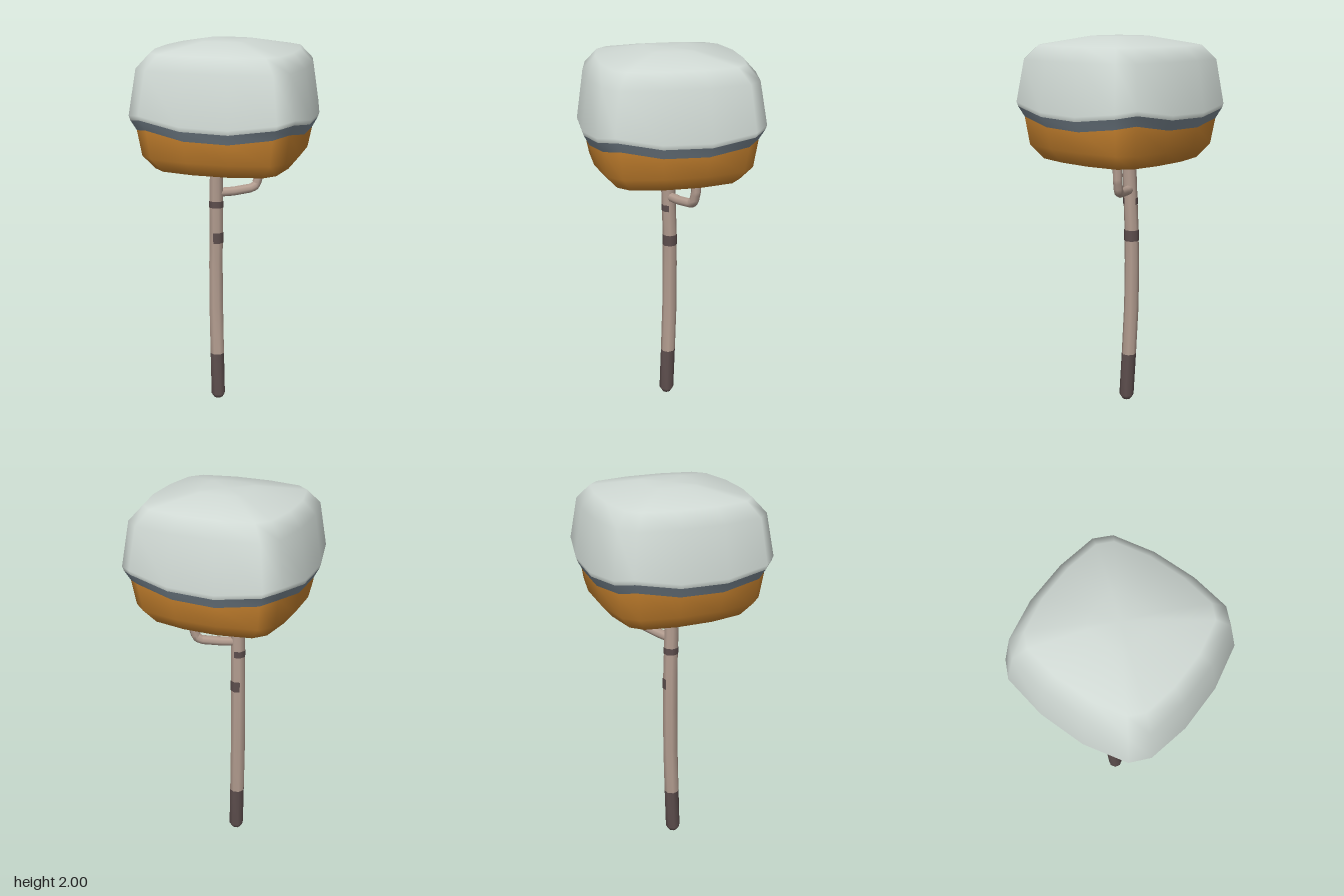
import * as THREE from 'three';

const mat = (name, color) => {
  const m = new THREE.MeshStandardMaterial({ color });
  m.name = name;
  return m;
};

// Skin a stack of closed rings, listed from bottom to top
function loft(rings) {
  const n = rings[0].length, pos = [], idx = [];
  rings.forEach(r => r.forEach(p => pos.push(...p)));
  for (let k = 0; k < rings.length - 1; k++) {
    for (let i = 0; i < n; i++) {
      const j = (i + 1) % n;
      const a = k * n + i, b = k * n + j, c = b + n, d = a + n;
      idx.push(a, d, c, a, c, b);
    }
  }
  const g = new THREE.BufferGeometry();
  g.setAttribute('position', new THREE.Float32BufferAttribute(pos, 3));
  g.setIndex(idx);
  g.computeVertexNormals();
  return g;
}

// Twisted, rounded square outline: one side [x, z, wave height] turned four times
const SIDE = [[-0.235, -0.477, 0.025], [-0.01, -0.467, 0], [0.222, -0.41, 0.005], [0.42, -0.323, 0.04]];
const OUTLINE = [];
for (let q = 0; q < 4; q++) {
  for (let [x, z, w] of SIDE) {
    for (let t = 0; t < q; t++) [x, z] = [-z, x];
    OUTLINE.push([x, z, w]);
  }
}
const canopyRing = (scale, y, wave = 0) =>
  OUTLINE.map(([x, z, w]) => [x * scale, y + w * wave, z * scale]);

// Eight-sided trunk ring
const trunkRing = (x, y, z, r) => Array.from({ length: 8 }, (_, i) => {
  const a = (i + 0.5) * Math.PI / 4;
  return [x + Math.cos(a) * r, y, z + Math.sin(a) * r];
});

export function createModel() {
  const model = new THREE.Group();
  const snow = mat('snow', 0xd0d9d4);
  const shade = mat('snowEdge', 0x7f8d98);
  const leaves = mat('orangeLeaves', 0xcd8630);
  const bark = mat('bark', 0xb39d90);
  const darkBark = mat('darkBark', 0x5e4f4e);

  const add = (name, geometry, material) => {
    const mesh = new THREE.Mesh(geometry, material);
    mesh.name = name;
    model.add(mesh);
    return mesh;
  };

  // Canopy: leaves below, wavy snow edge, snow cap on top
  add('leaves', loft([
    canopyRing(0, 1.38), canopyRing(0.5, 1.38), canopyRing(0.75, 1.382),
    canopyRing(0.88, 1.455), canopyRing(0.925, 1.56, 1),
  ]), leaves);
  add('snowEdge', loft([canopyRing(0.925, 1.56, 1), canopyRing(0.985, 1.612, 1)]), shade);
  add('snowCap', loft([
    canopyRing(0.985, 1.612, 1), canopyRing(1, 1.635, 1), canopyRing(0.92, 1.885),
    canopyRing(0.78, 1.955), canopyRing(0.27, 2), canopyRing(0, 2),
  ]), snow);

  // Slightly bowed trunk with a dark foot
  add('trunkFoot', loft([
    trunkRing(-0.055, 0, -0.012, 0), trunkRing(-0.055, 0, -0.012, 0.025),
    trunkRing(-0.055, 0.025, -0.012, 0.04), trunkRing(-0.06, 0.27, -0.024, 0.04),
  ]), darkBark);
  add('trunk', loft([
    trunkRing(-0.06, 0.27, -0.024, 0.04), trunkRing(-0.065, 0.55, -0.036, 0.04),
    trunkRing(-0.066, 0.8, -0.038, 0.039), trunkRing(-0.063, 1.0, -0.036, 0.038),
    trunkRing(-0.06, 1.42, -0.02, 0.037),
  ]), bark);

  // Dark bark marks wrapped part of the way round
  const mark = (name, x, y, z, height, start, sides) => {
    const g = new THREE.CylinderGeometry(0.0405, 0.0405, height, sides, 1, true,
      THREE.MathUtils.degToRad(start), sides * Math.PI / 4);
    add(name, g, darkBark).position.set(x, y, z);
  };
  mark('lowerBarkMark', -0.063, 0.95, -0.037, 0.06, -22.5, 5);
  mark('upperBarkMark', -0.062, 1.138, -0.031, 0.036, -202.5, 6);

  // Side branch bending up into the leaves
  const path = new THREE.CurvePath();
  const pts = [[-0.06, 1.2, -0.028], [0.03, 1.203, -0.045], [0.125, 1.215, -0.068], [0.148, 1.23, -0.073],
    [0.165, 1.29, -0.077], [0.165, 1.41, -0.075]].map(p => new THREE.Vector3(...p));
  for (let i = 1; i < pts.length; i++) path.add(new THREE.LineCurve3(pts[i - 1], pts[i]));
  add('branch', new THREE.TubeGeometry(path, 24, 0.025, 8), bark);

  return model;
}
